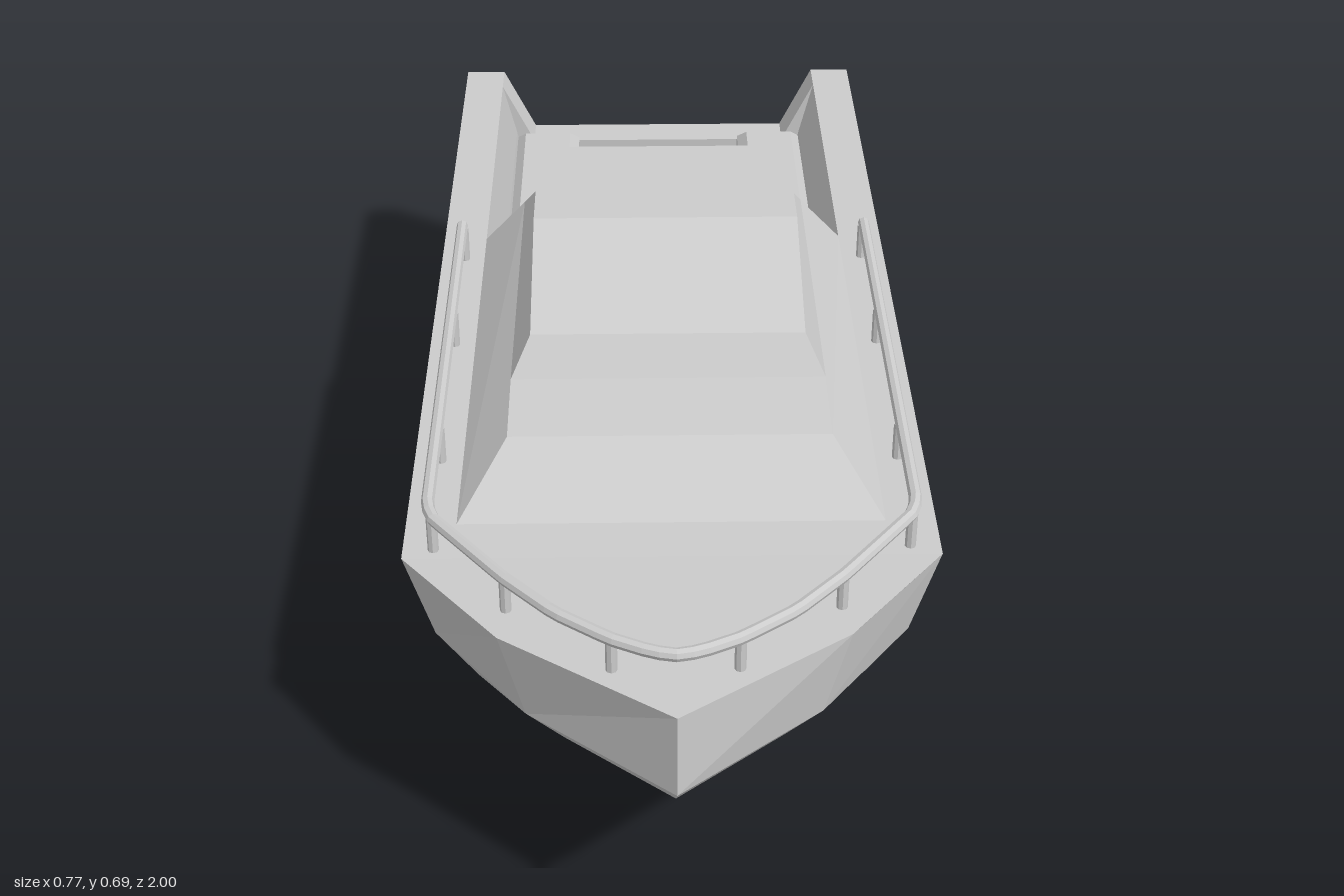
import * as THREE from 'three';

const material = new THREE.MeshStandardMaterial({ color: 0xcccccc, flatShading: true, side: THREE.DoubleSide });

function add(parent, name, geometry) {
  const mesh = new THREE.Mesh(geometry, material);
  mesh.name = name;
  parent.add(mesh);
  return mesh;
}

const flip = ([x, y, z]) => [-x, y, z];
const mirrored = (quads) => [...quads, ...quads.map((q) => q.map(flip).reverse())];

// Flat-shaded surface from a list of four-cornered panels
function panels(quads) {
  const pos = [];
  for (const [a, b, c, d] of quads) pos.push(...a, ...b, ...c, ...a, ...c, ...d);
  const g = new THREE.BufferGeometry();
  g.setAttribute('position', new THREE.Float32BufferAttribute(pos, 3));
  g.computeVertexNormals();
  return g;
}

// Panels between neighbouring rows of points
function skin(rows) {
  const quads = [];
  for (let i = 0; i + 1 < rows.length; i++)
    for (let j = 0; j + 1 < rows[i].length; j++)
      quads.push([rows[i][j], rows[i][j + 1], rows[i + 1][j + 1], rows[i + 1][j]]);
  return quads;
}

// Shape from right-half points, closed by mirroring
function symmetricShape(half) {
  const pts = [...half, ...half.map(([x, y]) => [-x, y]).reverse()];
  return new THREE.Shape(pts.map(([x, y]) => new THREE.Vector2(x, y)));
}

export function createModel() {
  const boat = new THREE.Group();
  boat.name = 'motorBoat';

  // Hull: chine lines from sheer to keel, each running aft to stem
  const stern = -0.96, transomFront = -0.89;
  const section = [[0.383, 0.48], [0.342, 0.345], [0.283, 0.265], [0.14, 0.205], [0, 0.173]];
  const bow = [
    [[0.24, 0.483, 0.83], [0, 0.487, 1]],
    [[0.205, 0.348, 0.83], [0, 0.353, 1]],
    [[0.155, 0.268, 0.79], [0, 0.272, 0.92]],
    [[0.07, 0.207, 0.73], [0, 0.21, 0.8]],
    [[0, 0.173, 0.66], [0, 0.173, 0.66]],
  ];
  const rows = section.map(([x, y], i) => [[x, y, transomFront], [x, y, 0.65], ...bow[i]]);
  add(boat, 'hull', panels(mirrored(skin(rows))));

  // Transom with a sloped notch
  const notch = [[0.25, 0.36], [0.28, 0.42], [0.31, 0.48]];
  const transom = new THREE.ExtrudeGeometry(symmetricShape([...notch, ...section]),
    { depth: transomFront - stern, bevelEnabled: false });
  add(boat, 'transom', transom.translate(0, 0, stern));

  // Deck around the cockpit opening
  const cockpitFront = 0.12;
  const deck = new THREE.ShapeGeometry(symmetricShape([
    [0.31, -cockpitFront], [0.31, -transomFront], [0.383, -transomFront],
    [0.383, -0.65], [0.24, -0.83], [0, -1]])).rotateX(-Math.PI / 2);
  const p = deck.attributes.position;
  for (let i = 0; i < p.count; i++) p.setY(i, 0.48 + Math.max(0, p.getZ(i) - 0.65) * 0.02);
  add(boat, 'deck', deck);

  // Cockpit sides and floor
  const lining = [[0, 0.28], [0.265, 0.28], [0.285, 0.38], [0.31, 0.48]]
    .map(([x, y]) => [[x, y, transomFront], [x, y, cockpitFront]]);
  add(boat, 'cockpitLining', panels(mirrored(skin(lining))));

  // Side benches with bevelled edges
  for (const side of [-1, 1]) {
    const bevel = 0.018, w = 0.125, l = 0.62, h = 0.105;
    const shape = new THREE.Shape([[-1, -1], [1, -1], [1, 1], [-1, 1]]
      .map(([x, y]) => new THREE.Vector2(x * (w / 2 - bevel), y * (l / 2 - bevel))));
    const bench = new THREE.ExtrudeGeometry(shape,
      { depth: h - bevel, bevelThickness: bevel, bevelSize: bevel, bevelSegments: 1 });
    add(boat, 'bench', bench.rotateX(-Math.PI / 2)).position.set(side * 0.222, 0.28, -0.58);
  }

  // Forward bulkhead with a recessed panel
  const wall = symmetricShape([[0.265, 0.28], [0.285, 0.38], [0.31, 0.48], [0.24, 0.55]]);
  const opening = [[-0.2, 0.31], [0.2, 0.31], [0.2, 0.46], [-0.2, 0.46]];
  wall.holes.push(new THREE.Path(opening.map(([x, y]) => new THREE.Vector2(x, y))));
  add(boat, 'bulkhead', new THREE.ExtrudeGeometry(wall, { depth: 0.03, bevelEnabled: false }))
    .position.z = cockpitFront - 0.03;
  add(boat, 'bulkheadPanel', new THREE.BoxGeometry(0.42, 0.17, 0.01)).position.set(0, 0.385, cockpitFront);

  // Cabin: trunk, windscreen and roof, open at the back
  const trunkFoot = [0.31, 0.48, 0.57], trunkTop = [0.24, 0.55, 0.45];
  const screenFoot = [0.24, 0.56, 0.31], screenTop = [0.21, 0.615, 0.27];
  const roofFront = [0.21, 0.69, 0.04], roofBack = [0.21, 0.69, -0.21];
  const eaveBack = [0.21, 0.615, -0.21], sideBack = [0.24, 0.558, -0.26], footBack = [0.31, 0.48, -0.27];
  const sides = [
    [footBack, sideBack, trunkTop, trunkFoot],
    [sideBack, screenFoot, trunkTop, trunkTop],
    [sideBack, eaveBack, screenTop, screenFoot],
    [eaveBack, roofBack, roofFront, screenTop],
  ];
  const ridge = [trunkFoot, trunkTop, screenFoot, screenTop, roofFront, roofBack, eaveBack];
  const spans = ridge.slice(1).map((b, i) => [flip(ridge[i]), ridge[i], b, flip(b)]);
  const ceiling = [flip(eaveBack), eaveBack, screenTop, flip(screenTop)];
  add(boat, 'cabin', panels([...mirrored(sides), ...spans, ceiling]));

  // Bow rail
  const rail = new THREE.Group();
  rail.name = 'bowRail';
  boat.add(rail);
  const railHalf = [[0.346, -0.21], [0.346, 0.61], [0.335, 0.64], [0.23, 0.775], [0.16, 0.85], [0.085, 0.905], [0.03, 0.932]];
  const railPoints = [...railHalf, [0, 0.938], ...railHalf.map(([x, z]) => [-x, z]).reverse()]
    .map(([x, z]) => new THREE.Vector3(x, 0.541, z));
  const path = new THREE.CurvePath();
  for (let i = 0; i + 1 < railPoints.length; i++) path.add(new THREE.LineCurve3(railPoints[i], railPoints[i + 1]));
  add(rail, 'handrail', new THREE.TubeGeometry(path, 120, 0.0095, 8));
  for (const [x, z] of [[0.343, -0.2], [0.343, 0.08], [0.343, 0.41], [0.339, 0.63], [0.23, 0.77], [0.085, 0.9]])
    for (const side of [-1, 1])
      add(rail, 'railPost', new THREE.CylinderGeometry(0.008, 0.008, 0.06, 8)).position.set(side * x, 0.51, z);

  // Drive leg: a block on the transom and a narrow fin below it
  const drive = new THREE.Group();
  drive.name = 'drive';
  boat.add(drive);
  const leg = new THREE.Shape([[0.9, 0.18], [0.9, 0.13], [0.975, 0.13], [0.99, 0.215], [0.96, 0.24]]
    .map(([z, y]) => new THREE.Vector2(z, y)));
  add(drive, 'driveLeg', new THREE.ExtrudeGeometry(leg, { depth: 0.048, bevelEnabled: false })
    .rotateY(Math.PI / 2).translate(-0.024, 0, 0));
  const fin = [[0.012, 0.13, -0.905], [0.012, 0.13, -0.975], [0.005, 0.088, -0.978], [0.005, 0.088, -0.96]];
  add(drive, 'driveFin', panels([...mirrored([fin]),
    [fin[0], fin[3], flip(fin[3]), flip(fin[0])], [fin[2], fin[1], flip(fin[1]), flip(fin[2])],
    [fin[3], fin[2], flip(fin[2]), flip(fin[3])]]));

  // Three-bladed propeller on a slightly raked shaft
  const propeller = new THREE.Group();
  propeller.name = 'propeller';
  propeller.position.set(0, 0.104, -0.978);
  propeller.rotation.x = -0.15;
  boat.add(propeller);
  add(propeller, 'propellerHub', new THREE.CylinderGeometry(0.01, 0.01, 0.03, 8).rotateX(Math.PI / 2));
  const blade = new THREE.ExtrudeGeometry(symmetricShape([
    [0.006, 0], [0.03, -0.034], [0.043, -0.062], [0.042, -0.09], [0.022, -0.104]]),
    { depth: 0.003, bevelEnabled: false }).translate(0, 0, -0.0015).rotateY(0.12);
  for (let i = 0; i < 3; i++)
    add(propeller, 'propellerBlade', blade).rotation.z = i * Math.PI * 2 / 3;

  return boat;
}
